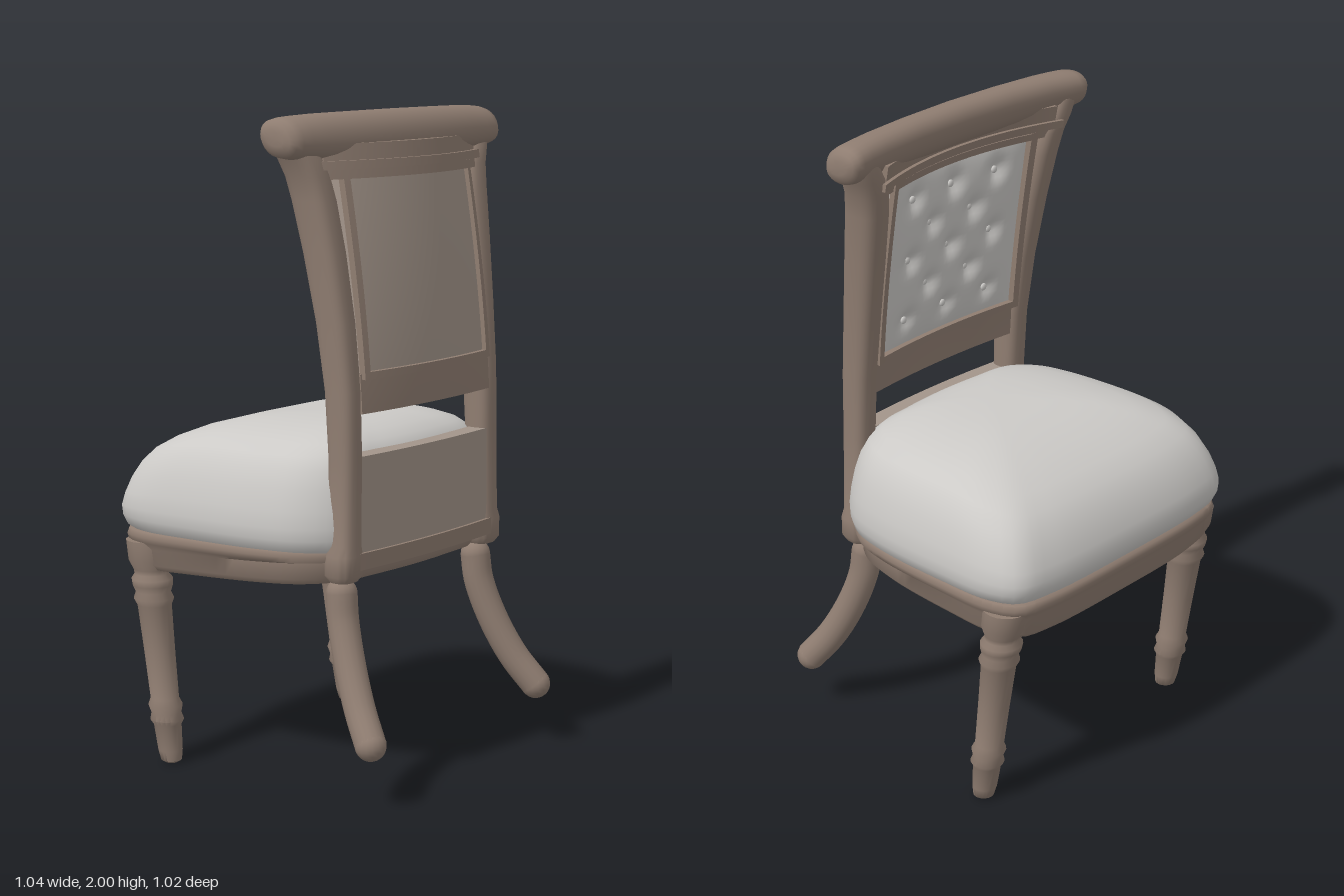
import * as THREE from 'three';
import { toCreasedNormals } from 'three/addons/utils/BufferGeometryUtils.js';

const wood = new THREE.MeshStandardMaterial({ color: 0x8f7d71 });
const backCloth = new THREE.MeshStandardMaterial({ color: 0xa3958a });
const fabric = new THREE.MeshStandardMaterial({ color: 0xcccac7 });
const V = (x, y, z) => new THREE.Vector3(x, y, z);

// Backrest rake (post centre line) and the bow of the back in plan
const rake = y => Math.min(Math.max((y - 1.05) / 0.9, 0), 1);
const postZ = y => 0.30 - 0.13 * Math.pow(rake(y), 1.5);
const backZ = (x, y) => postZ(y) + (0.02 + 0.05 * rake(y)) * (1 - (x / 0.37) ** 2);

// Closed skin through rings of points, capped at both ends
function loft(rings, crease = 0.9) {
  const n = rings[0].length, m = rings.length, pos = [], idx = [];
  rings.forEach(r => r.forEach(p => pos.push(p.x, p.y, p.z)));
  for (const r of [rings[0], rings[m - 1]]) {
    const c = r.reduce((s, p) => s.add(p), V(0, 0, 0)).divideScalar(n);
    pos.push(c.x, c.y, c.z);
  }
  for (let j = 0; j < n; j++) {
    const k = (j + 1) % n, e = (m - 1) * n;
    for (let i = 0; i < m - 1; i++) {
      const a = i * n + j, b = i * n + k;
      idx.push(a, a + n, b, b, a + n, b + n);
    }
    idx.push(m * n, j, k, m * n + 1, e + k, e + j);
  }
  const g = new THREE.BufferGeometry();
  g.setAttribute('position', new THREE.Float32BufferAttribute(pos, 3));
  g.setIndex(idx);
  return toCreasedNormals(g, crease);
}

// Rounded-square ring; power 1 is an ellipse, smaller is squarer
function ring(n, power, place) {
  const sp = v => Math.sign(v) * Math.pow(Math.abs(v), power);
  return Array.from({ length: n }, (_, i) => {
    const a = i / n * Math.PI * 2;
    return place(sp(Math.cos(a)), sp(Math.sin(a)));
  });
}

// Slab that follows the curve of the back; off shifts it in depth
function bent(w, h, d, x, y, off = 0, shape = null) {
  const g = new THREE.BoxGeometry(w, h, d, Math.ceil(w * 60), Math.ceil(h * 60), 1);
  const p = g.attributes.position;
  for (let i = 0; i < p.count; i++) {
    const X = p.getX(i) + x, Y = p.getY(i) + y;
    let Z = p.getZ(i) + off;
    if (shape && p.getZ(i) < 0) Z += shape(X, Y);
    p.setXYZ(i, X, Y, Z + backZ(X, Y));
  }
  return toCreasedNormals(g, 0.7);
}

// Seat outline in plan
const half = [[0.35, -0.5], [0.47, -0.47], [0.513, -0.38], [0.518, -0.2], [0.5, 0.08],
  [0.46, 0.22], [0.37, 0.31], [0.2, 0.335]];
const outline = new THREE.CatmullRomCurve3([
  V(0, 0, -0.51), ...half.map(([x, z]) => V(x, 0, z)), V(0, 0, 0.345),
  ...half.map(([x, z]) => V(-x, 0, z)).reverse()], true, 'centripetal').getSpacedPoints(96).slice(0, 96);

export function createModel() {
  const model = new THREE.Group();
  const add = (name, geo, mat = wood) => {
    const mesh = new THREE.Mesh(geo, mat);
    mesh.name = name;
    model.add(mesh);
    return mesh;
  };

  // Seat rail with a moulded upper lip
  const rail = [[0.86, 0.63], [0.9, 0.618], [0.93, 0.635], [0.935, 0.685], [0.965, 0.695], [0.975, 0.712],
    [0.965, 0.728], [0.93, 0.735]];
  add('seatRail', loft(rail.map(([s, y]) => outline.map(p =>
    V(p.x * s, y + 0.04 * p.z * (y < 0.69 ? 1 : 0.3), (p.z + 0.08) * s - 0.08)))));

  // Domed seat cushion, lower toward the front
  const dome = [[0.93, 0.715], [0.975, 0.735], [0.995, 0.765], [1, 0.8], [0.985, 0.85], [0.955, 0.91],
    [0.91, 0.965], [0.85, 1.005], [0.76, 1.032], [0.62, 1.054], [0.46, 1.069], [0.3, 1.077], [0.12, 1.08]];
  add('seatCushion', loft(dome.map(([s, y]) => outline.map(p => {
    const z = (p.z - 0.08) * s + 0.08, t = Math.max(0, (y - 0.78) / 0.3);
    return V(p.x * s, y - 0.55 * t * Math.max(0, -z - 0.1) ** 2, z);
  })), 1.2), fabric);

  // Covered back of the seat between the posts
  add('seatBackPanel', bent(0.64, 0.3, 0.06, 0, 0.86, 0.005), backCloth);
  add('seatBackRail', bent(0.7, 0.05, 0.08, 0, 0.7, 0.005));

  for (const s of [-1, 1]) {
    const side = s > 0 ? 'left' : 'right';

    // Back posts: y, centre x, half width, half depth
    const post = [[0.64, 0.35, 0.04, 0.035], [0.66, 0.35, 0.053, 0.05], [0.72, 0.35, 0.053, 0.05],
      [0.75, 0.347, 0.046, 0.045], [1, 0.342, 0.043, 0.045], [1.2, 0.343, 0.043, 0.05],
      [1.4, 0.348, 0.046, 0.055], [1.6, 0.36, 0.05, 0.06], [1.75, 0.374, 0.052, 0.063],
      [1.82, 0.387, 0.052, 0.063], [1.87, 0.41, 0.052, 0.062], [1.92, 0.435, 0.05, 0.05]];
    add(side + 'BackPost', loft(post.map(([y, x, hx, hz]) =>
      ring(24, 0.7, (c, d) => V(s * x + c * hx, y, postZ(y) + d * hz)))));

    // Splayed, curved rear leg with rounded ends
    const path = new THREE.CatmullRomCurve3([V(s * 0.34, 0.6, 0.285), V(s * 0.345, 0.52, 0.295),
      V(s * 0.365, 0.4, 0.335), V(s * 0.395, 0.28, 0.395), V(s * 0.427, 0.19, 0.46)]);
    add(side + 'RearLeg', new THREE.TubeGeometry(path, 24, 0.047, 16));
    for (const t of [0, 1]) {
      add(side + 'RearLegEnd', new THREE.SphereGeometry(0.047, 16, 12)).position.copy(path.getPoint(t));
    }

    // Turned front leg, raked back toward the foot: y, radius
    const turn = [[0, 0.018], [0.008, 0.032], [0.04, 0.038], [0.12, 0.043], [0.135, 0.052], [0.155, 0.046],
      [0.18, 0.053], [0.2, 0.044], [0.35, 0.048], [0.49, 0.053], [0.51, 0.062], [0.53, 0.054],
      [0.55, 0.062], [0.57, 0.064], [0.585, 0.053], [0.6, 0.055], [0.63, 0.068], [0.69, 0.07]];
    add(side + 'FrontLeg', loft(turn.map(([y, r]) =>
      ring(20, 1, (c, d) => V(s * (0.443 - 0.03 * Math.max(0, y - 0.5)) + c * r, y, -0.3 - 0.13 * y + d * r)))));

    // Upright mouldings beside the back panel, front and rear
    for (const off of [-0.052, 0.045]) add(side + 'PanelBead', bent(0.022, 0.6, 0.02, s * 0.302, 1.535, off));
  }

  // Backrest: cross rails and mouldings
  add('lowerBackRail', bent(0.64, 0.115, 0.085, 0, 1.193));
  add('upperBackRail', bent(0.74, 0.1, 0.11, 0, 1.86));
  add('upperMoulding', bent(0.78, 0.025, 0.135, 0, 1.85));
  for (const off of [-0.052, 0.045]) {
    for (const y of [1.246, 1.822]) add('panelBead', bent(0.62, 0.022, 0.02, 0, y, off));
  }

  // Plain rear panel
  add('backPanel', bent(0.6, 0.58, 0.05, 0, 1.535, 0.015), backCloth);

  // Tufted front panel with buttons in a staggered grid
  const buttons = [];
  for (let r = 0; r < 5; r++) {
    const n = r % 2 ? 2 : 3;
    for (let c = 0; c < n; c++) buttons.push([(c - (n - 1) / 2) * 0.18, 1.535 + (r - 2) * 0.1]);
  }
  const tuft = (x, y) => {
    const edge = Math.max(0, (1 - (x / 0.3) ** 4) * (1 - ((y - 1.535) / 0.29) ** 4));
    const dip = buttons.reduce((d, [bx, by]) =>
      d + 0.026 * Math.exp(-((x - bx) ** 2 + (y - by) ** 2) / 0.0011), 0);
    return -0.03 * edge + dip;
  };
  add('tuftedPanel', bent(0.6, 0.58, 0.04, 0, 1.535, -0.02, tuft), fabric);
  for (const [x, y] of buttons) {
    const b = add('button', new THREE.SphereGeometry(0.012, 10, 8), fabric);
    b.position.set(x, y, backZ(x, y) - 0.043);
    b.scale.z = 0.5;
  }

  // Rolled crest rail with scrolled ends: x, half height, half depth
  const end = [[0.515, 0.022, 0.03], [0.51, 0.042, 0.052], [0.495, 0.055, 0.066], [0.47, 0.06, 0.068],
    [0.43, 0.063, 0.066], [0.36, 0.066, 0.064], [0.2, 0.068, 0.062]];
  const crest = [...end.map(([x, h, d]) => [-x, h, d]), [0, 0.069, 0.062], ...end.slice().reverse()];
  add('crestRail', loft(crest.map(([x, h, d]) => ring(24, 0.9, (c, e) =>
    V(x, 1.93 + c * h, 0.215 - 0.14 * x * x - e * d - c * 0.012)))));

  return model;
}
